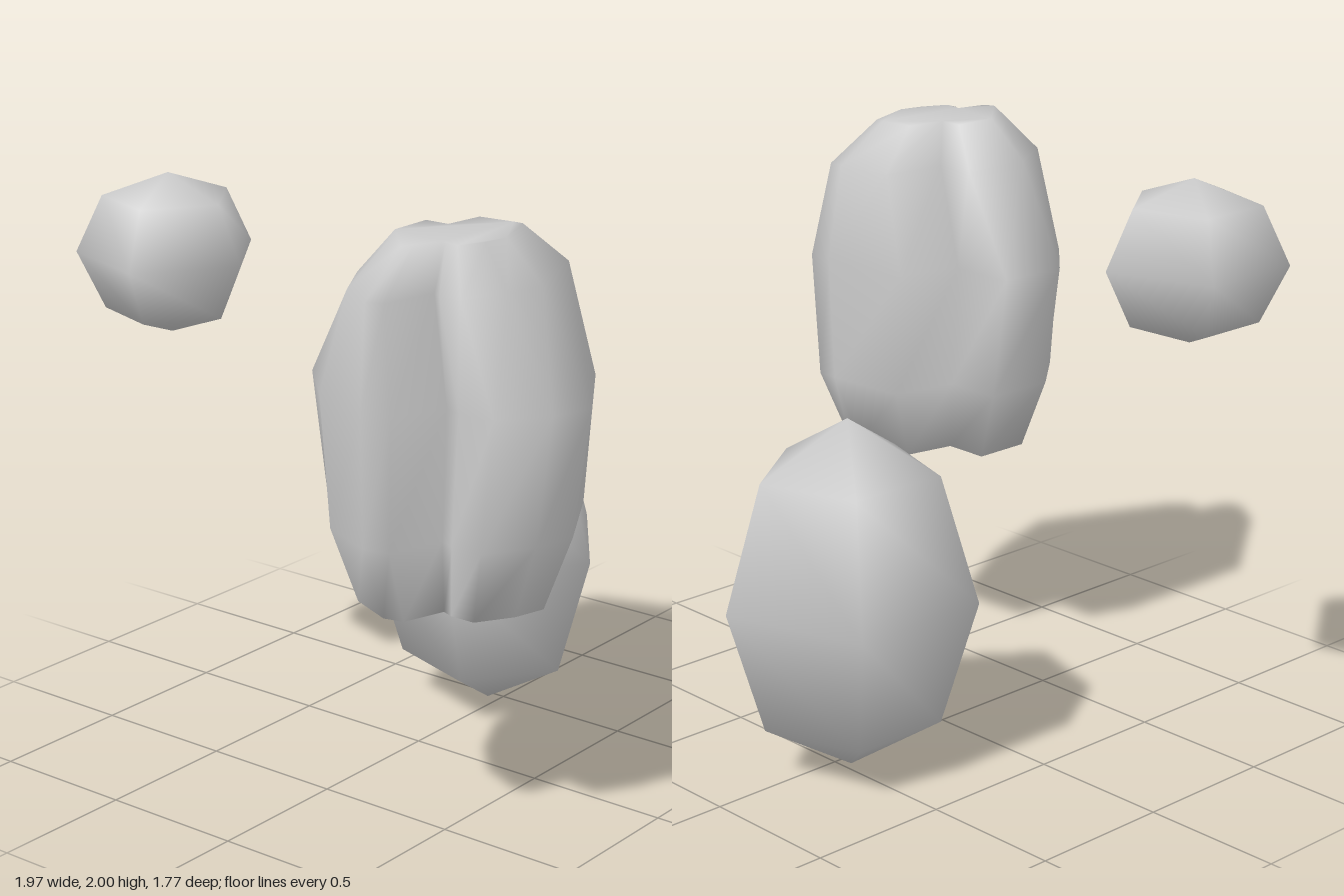
import * as THREE from 'three';

const material = new THREE.MeshStandardMaterial({ color: 0xcccccc });

// Five-sided faceted ellipsoid with one corner pointing to +x
function ellipsoid(name, radius, halfHeight, x, y, z) {
  const geometry = new THREE.SphereGeometry(1, 5, 4);
  geometry.rotateY(Math.PI);
  geometry.scale(radius, halfHeight, radius);
  const mesh = new THREE.Mesh(geometry, material);
  mesh.name = name;
  mesh.position.set(x, y, z);
  return mesh;
}

// Lobed block: one notched outline (x, z) repeated at several heights
function lobedBlock() {
  const cx = 0.52, cz = 0.5;
  const outline = [
    [0.985, 0.41], [0.94, 0.55], [0.83, 0.70], [0.70, 0.70], [0.64, 0.68],
    [0.57, 0.865], [0.47, 0.885], [0.24, 0.80], [0.06, 0.62], [0.06, 0.36],
    [0.30, 0.36], [0.35, 0.13], [0.70, 0.11], [0.79, 0.11],
  ].map(([x, z]) => new THREE.Vector2(x, z));
  // height, x scale, z scale
  const layers = [
    [0.83, 0.67, 0.774], [1.08, 0.865, 1], [1.51, 1, 1],
    [1.86, 0.595, 1], [2.0, 0.357, 0.594],
  ];
  const n = outline.length;
  const positions = [];
  const indices = [];
  for (const [y, sx, sz] of layers) {
    for (const p of outline) positions.push(cx + (p.x - cx) * sx, y, cz + (p.y - cz) * sz);
  }
  // Side walls
  for (let k = 0; k < layers.length - 1; k++) {
    for (let i = 0; i < n; i++) {
      const a = k * n + i, b = k * n + (i + 1) % n;
      indices.push(a, a + n, b, b, a + n, b + n);
    }
  }
  // Bottom and top caps
  const top = (layers.length - 1) * n;
  for (const [a, b, c] of THREE.ShapeUtils.triangulateShape(outline, [])) {
    indices.push(a, b, c, top + a, top + c, top + b);
  }
  const geometry = new THREE.BufferGeometry();
  geometry.setAttribute('position', new THREE.Float32BufferAttribute(positions, 3));
  geometry.setIndex(indices);
  geometry.computeVertexNormals();
  const mesh = new THREE.Mesh(geometry, material);
  mesh.name = 'lobedBlock';
  return mesh;
}

export function createModel() {
  const group = new THREE.Group();
  group.name = 'floatingStones';
  group.add(
    ellipsoid('smallStone', 0.315, 0.273, -0.735, 1.727, 0.41),
    ellipsoid('tallStone', 0.437, 0.614, -0.047, 0.615, -0.468),
    lobedBlock(),
  );
  return group;
}
